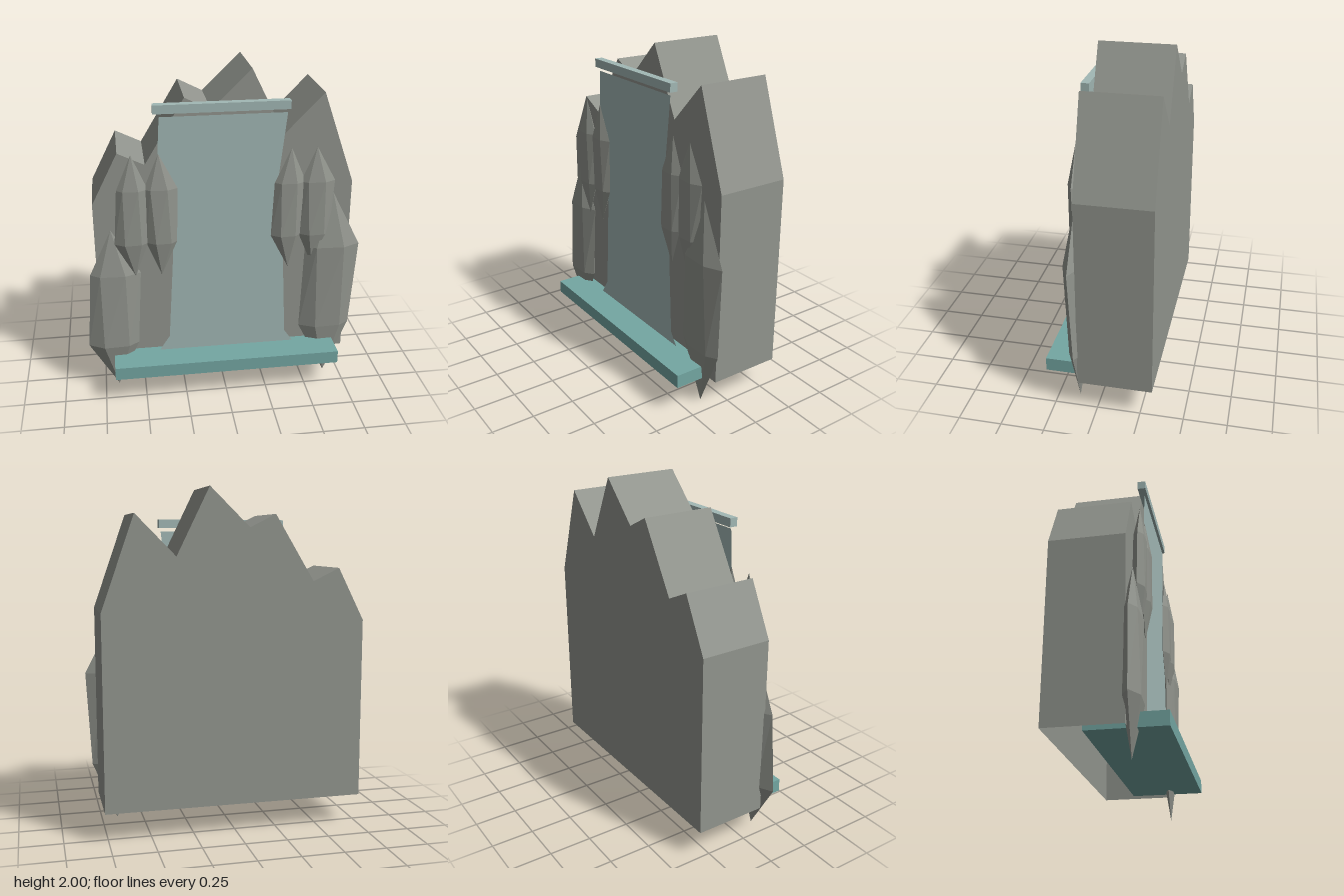
import * as THREE from 'three';

const stone = new THREE.MeshStandardMaterial({ color: 0x92958e, flatShading: true, side: THREE.DoubleSide });
stone.name = 'stone';
const paleWater = new THREE.MeshStandardMaterial({ color: 0xa2b8b5, side: THREE.DoubleSide });
paleWater.name = 'paleWater';
const poolTeal = new THREE.MeshStandardMaterial({ color: 0x74a7a3 });
poolTeal.name = 'poolTeal';

function add(group, name, geometry, material) {
  const mesh = new THREE.Mesh(geometry, material);
  mesh.name = name;
  group.add(mesh);
  return mesh;
}

function outline(points) {
  return new THREE.Shape(points.map(([x, y]) => new THREE.Vector2(x, y)));
}

function box(group, name, min, max, material) {
  const size = max.map((v, i) => v - min[i]);
  const mesh = add(group, name, new THREE.BoxGeometry(...size), material);
  mesh.position.set(...max.map((v, i) => (v + min[i]) / 2));
}

// Strip of quads along a profile, between two depths
function wallStrip(profile, z0, z1) {
  const pos = [];
  for (let i = 0; i < profile.length - 1; i++) {
    const [ax, ay] = profile[i], [bx, by] = profile[i + 1];
    pos.push(ax, ay, z0, ax, ay, z1, bx, by, z1, ax, ay, z0, bx, by, z1, bx, by, z0);
  }
  const g = new THREE.BufferGeometry();
  g.setAttribute('position', new THREE.Float32BufferAttribute(pos, 3));
  g.computeVertexNormals();
  return g;
}

// Long faceted boulder: two apexes and two six-sided rings.
// Each ring is [y, xMin, xMax, zMin, zMax]; each apex is [x, y, z].
function boulder(top, upper, lower, bottom) {
  const n = 6;
  const ring = ([y, x0, x1, z0, z1], turn) => Array.from({ length: n }, (_, i) => {
    const a = (i / n) * Math.PI * 2 + turn * Math.sin((i / n) * Math.PI * 2);
    return [(x0 + x1) / 2 + Math.cos(a) * (x1 - x0) / 2, y,
      (z0 + z1) / 2 + Math.sin(a) * (z1 - z0) / 2 / 0.9];
  });
  const u = ring(upper, 0.15), l = ring(lower, -0.15);
  const pos = [];
  const tri = (...p) => p.forEach((v) => pos.push(...v));
  for (let i = 0; i < n; i++) {
    const j = (i + 1) % n;
    tri(top, u[j], u[i]);
    tri(u[i], u[j], l[j]);
    tri(u[i], l[j], l[i]);
    tri(bottom, l[i], l[j]);
  }
  const g = new THREE.BufferGeometry();
  g.setAttribute('position', new THREE.Float32BufferAttribute(pos, 3));
  g.computeVertexNormals();
  return g;
}

export function createModel() {
  const group = new THREE.Group();
  group.name = 'waterfallCliff';

  // Hollow cliff with a jagged crest, open underneath
  const crest = [[-0.76, 0.175], [-0.76, 1.24], [-0.605, 1.545], [-0.45, 1.47], [-0.22, 1.85],
    [-0.07, 1.775], [0.16, 2], [0.35, 1.615], [0.58, 1.85], [0.77, 1.31], [0.77, 0.175]];
  const cliff = new THREE.Group();
  cliff.name = 'cliff';
  group.add(cliff);
  const face = new THREE.ShapeGeometry(outline(crest));
  add(cliff, 'cliffFront', face, stone).position.z = 0.11;
  const back = new THREE.ShapeGeometry(outline(crest.map(([x, y]) => [-x, y])));
  const backMesh = add(cliff, 'cliffBack', back, stone);
  backMesh.rotation.y = Math.PI;
  backMesh.position.z = -0.32;
  add(cliff, 'cliffSidesAndTop', wallStrip(crest, -0.32, 0.11), stone);

  // Falling sheet of water
  const sheet = new THREE.ShapeGeometry(outline([[-0.365, 1.755], [-0.378, 1.55], [-0.335, 1.25],
    [-0.305, 0.92], [-0.34, 0.35], [-0.44, 0.2], [0.475, 0.2], [0.385, 0.33],
    [0.36, 0.84], [0.315, 1.35], [0.36, 1.755]]));
  add(group, 'waterSheet', sheet, paleWater).position.z = 0.145;

  // Lip at the top and pool slab at the foot
  box(group, 'waterLip', [-0.4, 1.775, 0.11], [0.375, 1.825, 0.157], paleWater);
  box(group, 'poolSlab', [-0.685, 0.175, -0.12], [0.692, 0.255, 0.318], poolTeal);

  // Large boulders at the foot
  add(group, 'lowerBoulderRight', boulder([-0.665, 1.085, 0.13], [0.8, -0.8, -0.5, 0.085, 0.175],
    [0.32, -0.835, -0.53, 0.085, 0.185], [-0.665, 0.02, 0.125]), stone);
  add(group, 'lowerBoulderLeft', boulder([0.655, 1.25, 0.13], [0.91, 0.495, 0.83, 0.09, 0.185],
    [0.35, 0.48, 0.8, 0.08, 0.168], [0.655, 0, 0.125]), stone);

  // Pairs of small boulders flanking the fall
  for (const [name, x, u0, u1, l0, l1] of [
    ['outerBoulderRight', -0.53, -0.62, -0.44, -0.645, -0.45],
    ['innerBoulderRight', -0.375, -0.465, -0.27, -0.46, -0.28],
    ['innerBoulderLeft', 0.39, 0.295, 0.48, 0.28, 0.46],
    ['outerBoulderLeft', 0.54, 0.45, 0.655, 0.45, 0.635],
  ]) {
    add(group, name, boulder([x, 1.545, 0.147], [1.335, u0, u1, 0.115, 0.18],
      [1, l0, l1, 0.112, 0.182], [x, 0.785, 0.147]), stone);
  }
  return group;
}
